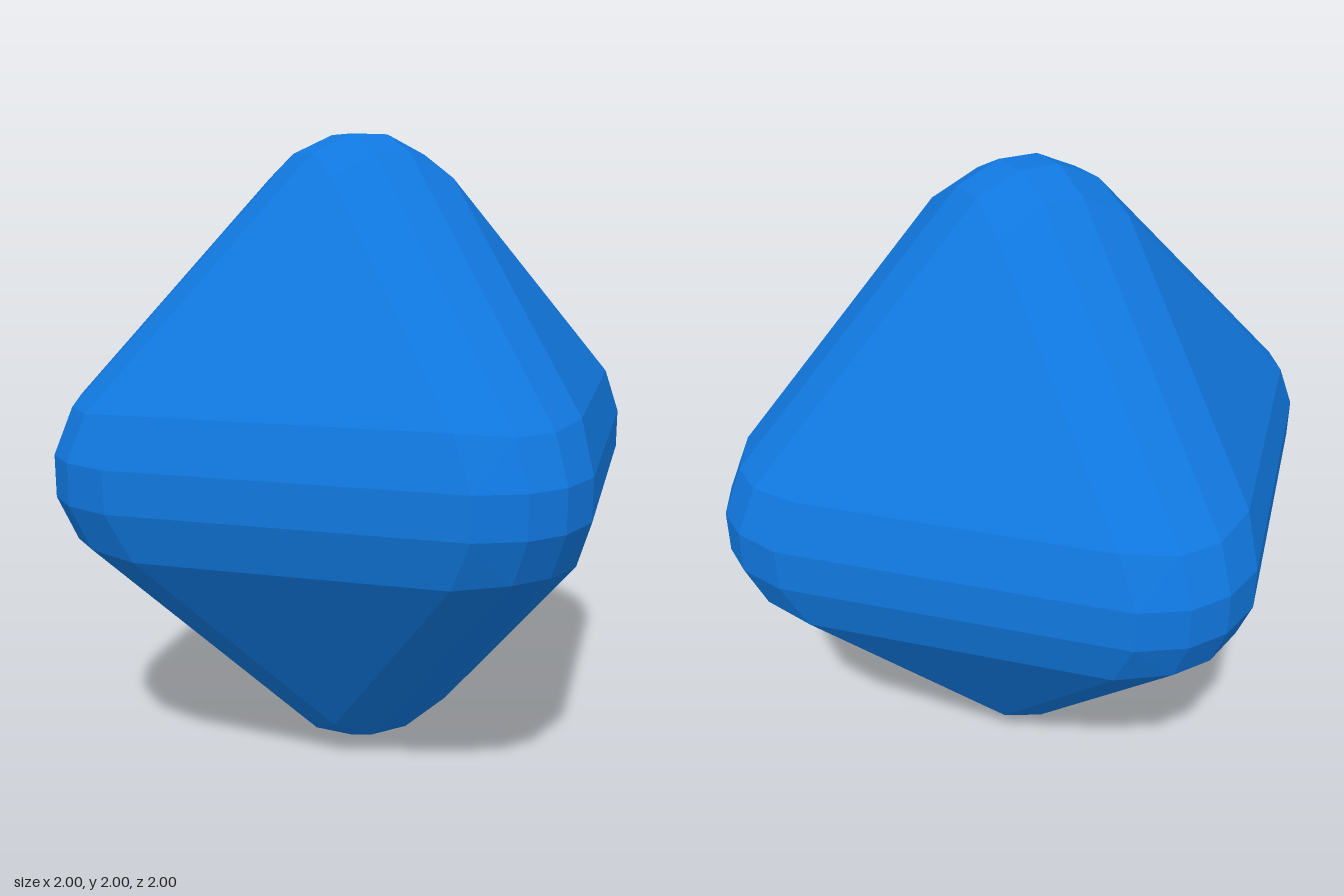
import * as THREE from 'three';
import { ConvexGeometry } from 'three/addons/geometries/ConvexGeometry.js';

// Every ordering and sign of one corner point, as an octahedron's symmetry demands
function symmetricPoints([a, b, c]) {
  const orders = [[a, b, c], [a, c, b], [b, a, c], [b, c, a], [c, a, b], [c, b, a]];
  const unique = new Map();
  for (const [x, y, z] of orders)
    for (const sx of [-1, 1])
      for (const sy of [-1, 1])
        for (const sz of [-1, 1]) {
          const p = new THREE.Vector3(x * sx, y * sy, z * sz);
          unique.set(p.toArray().join(), p);
        }
  return [...unique.values()];
}

export function createModel() {
  const group = new THREE.Group();
  group.name = 'bevelledOctahedron';

  const blue = new THREE.MeshStandardMaterial({ color: 0x1077de });
  blue.name = 'blue';

  const points = [
    [0.064, 0.064, 1],      // flat square on each tip
    [0.064, 0.202, 0.94],   // ends of the middle bevel strips
    [0.214, 0.214, 0.866],  // corners of the eight large triangles
  ].flatMap(symmetricPoints);

  // Faceted solid with three-step bevels along every edge
  const body = new THREE.Mesh(new ConvexGeometry(points), blue);
  body.name = 'body';
  body.position.y = 1;
  group.add(body);
  return group;
}
